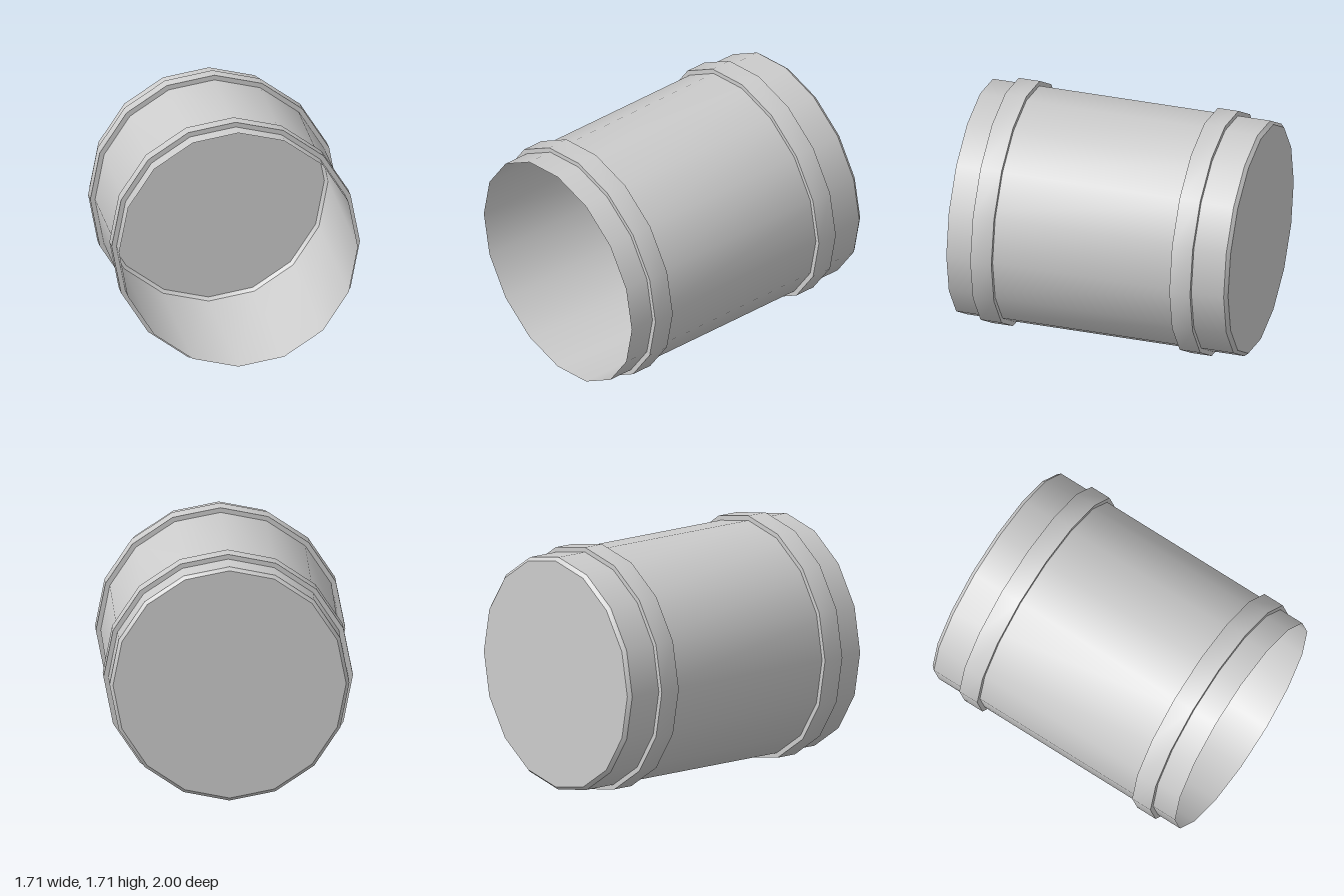
import * as THREE from 'three';
import { toCreasedNormals } from 'three/addons/utils/BufferGeometryUtils.js';

const SIDES = 16;
const AXIS_Y = 0.853;

// Turns a profile of [radius, z] points around the z axis, smooth around, sharp at corners
function turned(name, profile, material) {
  const points = profile.map(([r, z]) => new THREE.Vector2(r, z));
  const lathe = new THREE.LatheGeometry(points, SIDES).rotateX(Math.PI / 2);
  const mesh = new THREE.Mesh(toCreasedNormals(lathe, 0.6), material);
  mesh.name = name;
  mesh.position.y = AXIS_Y;
  return mesh;
}

export function createModel() {
  const group = new THREE.Group();
  group.name = 'canister';
  const grey = new THREE.MeshStandardMaterial({ color: 0xcccccc, side: THREE.DoubleSide });
  grey.name = 'grey';

  // Thin shell: closed bevelled back, open front
  group.add(turned('shell', [[0, -1], [0.797, -1], [0.82, -0.975], [0.82, 1]], grey));

  // Raised bands around the shell
  for (const [name, back, front] of [['frontBand', 0.67, 0.82], ['backBand', -0.745, -0.598]]) {
    group.add(turned(name, [[0.82, back], [0.853, back], [0.853, front], [0.82, front]], grey));
  }
  return group;
}
